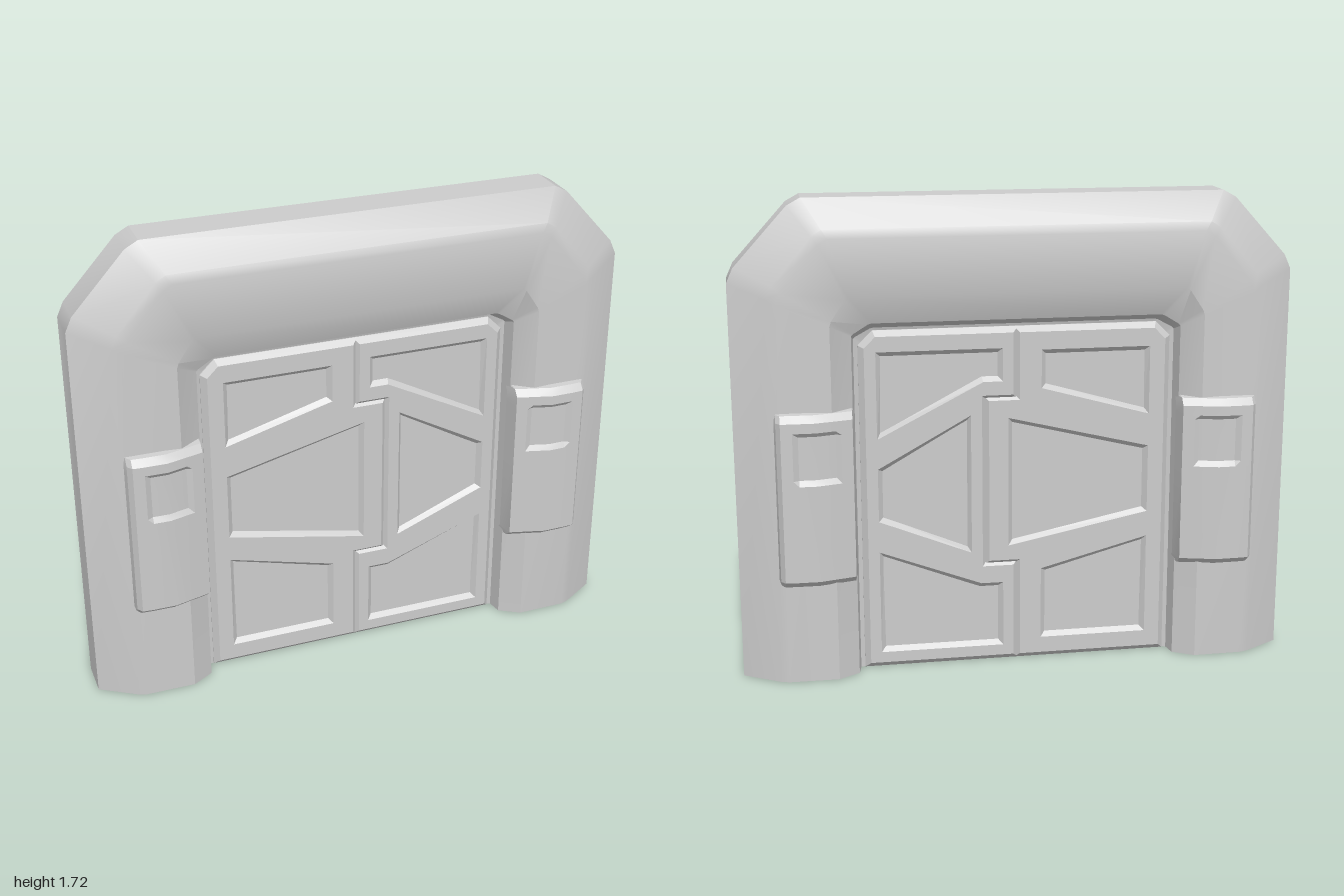
import * as THREE from 'three';
import { toCreasedNormals } from 'three/addons/utils/BufferGeometryUtils.js';

const material = new THREE.MeshStandardMaterial({ color: 0xcccccc, side: THREE.DoubleSide });

// Surface through a grid of points: rows[i][j] = [x, y, z]
function gridSurface(rows, closed, flip, crease) {
  const n = rows[0].length;
  const index = [];
  const last = closed ? rows.length : rows.length - 1;
  for (let i = 0; i < last; i++) {
    for (let j = 0; j < n - 1; j++) {
      const a = i * n + j, b = ((i + 1) % rows.length) * n + j;
      if (flip) index.push(a, b + 1, b, a, a + 1, b + 1);
      else index.push(a, b, b + 1, a, b + 1, a + 1);
    }
  }
  const g = new THREE.BufferGeometry();
  g.setAttribute('position', new THREE.Float32BufferAttribute(rows.flat(2), 3));
  g.setIndex(index);
  return toCreasedNormals(g, crease);
}

function addMesh(parent, name, geometry) {
  const mesh = new THREE.Mesh(geometry, material);
  mesh.name = name;
  parent.add(mesh);
  return mesh;
}

// One line along the arch: up the right jamb, over the lintel, down the left jamb
function archRail([x, yc, xc, yt, z]) {
  const f = 0.1;
  const half = [
    [x, 0], [x, yc - (yt - yc) * f],
    [x + (xc - x) * f, yc + (yt - yc) * f],
    [xc + (x - xc) * f, yt - (yt - yc) * f],
    [xc - (x - xc) * f, yt],
  ];
  return [
    ...half.map(([px, py]) => [-px, py, z]),
    ...half.reverse().map(([px, py]) => [px, py, z]),
  ];
}

function createFrame() {
  // jamb x, corner y, corner x, lintel y, z: from the outer edge to the opening
  const front = [
    [1.0, 1.46, 0.765, 1.72, 0.068],
    [0.87, 1.41, 0.695, 1.62, 0.148],
    [0.84, 1.39, 0.675, 1.59, 0.158],
    [0.66, 1.30, 0.60, 1.39, 0.16],
    [0.585, 1.25, 0.52, 1.29, 0.115],
    [0.575, 1.23, 0.51, 1.265, 0.06],
    [0.53, 1.20, 0.48, 1.235, 0.05],
  ];
  const back = front.map((r) => [...r.slice(0, 4), -r[4]]).reverse();
  return gridSurface([...front, ...back].map(archRail), true, false, 0.45);
}

// Raised pad on a jamb with a small sunken panel
function createPad(sx, sz) {
  const profile = [
    [0.58, 0.1], [0.59, 0.165], [0.63, 0.176], [0.65, 0.181], [0.72, 0.2],
    [0.78, 0.199], [0.8, 0.199], [0.84, 0.196], [0.855, 0.175], [0.865, 0.13],
  ];
  const levels = [
    [0.355, 0.08], [0.365, 0.03], [0.39, 0], [0.74, 0], [0.76, 0],
    [0.915, 0], [0.93, 0], [0.965, 0], [0.99, 0.02], [1.0, 0.08],
  ];
  const rows = profile.map(([x, z]) => levels.map(([y, drop]) => {
    const sunk = x > 0.64 && x < 0.79 && y > 0.75 && y < 0.92 ? 0.012 : 0;
    return [sx * x, y, sz * (z - drop - sunk)];
  }));
  return gridSurface(rows, false, sx * sz < 0, 0.3);
}

const toPoints = (list) => list.map(([x, y]) => new THREE.Vector2(x, y));

// Door leaf: bevelled slab whose sunken panels are cut to a core
function createLeaf(name, outline, panels) {
  const leaf = new THREE.Group();
  leaf.name = name;
  const shape = new THREE.Shape(toPoints(outline));
  const core = new THREE.ExtrudeGeometry(shape, { depth: 0.126, bevelEnabled: false });
  core.translate(0, 0, -0.063);
  for (const p of panels) shape.holes.push(new THREE.Path(toPoints(p)));
  const slab = new THREE.ExtrudeGeometry(shape, {
    depth: 0.12, bevelThickness: 0.02, bevelSize: 0.02, bevelSegments: 1,
  });
  slab.translate(0, 0, -0.06);
  addMesh(leaf, name + 'Slab', slab);
  addMesh(leaf, name + 'Core', core);
  return leaf;
}

export function createModel() {
  const model = new THREE.Group();
  model.name = 'doorway';
  addMesh(model, 'frame', createFrame());

  // Pads on both jambs, front and back
  for (const sx of [-1, 1]) {
    for (const sz of [-1, 1]) {
      addMesh(model, (sx > 0 ? 'left' : 'right') + (sz > 0 ? 'Front' : 'Back') + 'Pad', createPad(sx, sz));
    }
  }

  // Leaf with the interlocking tab
  model.add(createLeaf('rightLeaf', [
    [-0.54, 0.02], [-0.012, 0.02], [-0.012, 0.39], [0.1, 0.39], [0.1, 0.99],
    [-0.012, 0.99], [-0.012, 1.235], [-0.5, 1.235], [-0.54, 1.195],
  ], [
    [[-0.485, 0.92], [-0.09, 1.03], [-0.09, 1.17], [-0.485, 1.17]],
    [[-0.485, 0.55], [0.03, 0.445], [0.03, 0.925], [-0.485, 0.8]],
    [[-0.485, 0.08], [-0.09, 0.08], [-0.09, 0.35], [-0.485, 0.455]],
  ]));

  // Leaf notched to receive the tab
  model.add(createLeaf('leftLeaf', [
    [0.012, 0.02], [0.54, 0.02], [0.54, 1.195], [0.5, 1.235], [0.012, 1.235],
    [0.012, 1.01], [0.125, 1.01], [0.125, 0.37], [0.012, 0.37],
  ], [
    [[0.05, 1.06], [0.12, 1.06], [0.5, 0.865], [0.5, 1.18], [0.05, 1.18]],
    [[0.165, 0.425], [0.5, 0.56], [0.5, 0.755], [0.165, 0.94]],
    [[0.05, 0.06], [0.5, 0.06], [0.5, 0.445], [0.13, 0.305], [0.05, 0.305]],
  ]));

  return model;
}
